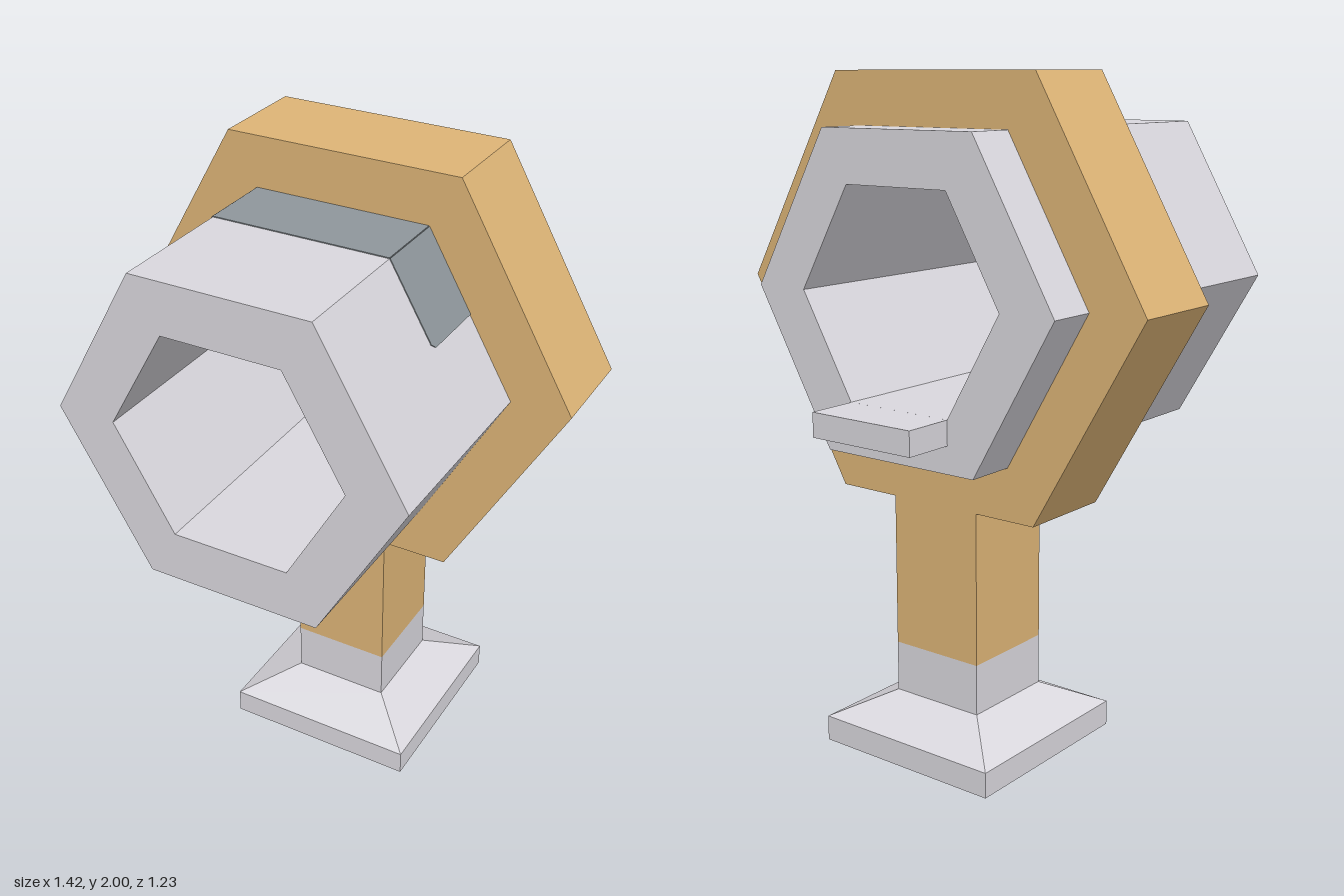
import * as THREE from 'three';

const HEX_Y = 1.385;
const POST_Z = -0.153;

const mat = (name, color) => {
  const m = new THREE.MeshStandardMaterial({ color });
  m.name = name;
  return m;
};

function add(group, name, geometry, material, x = 0, y = 0, z = 0) {
  const mesh = new THREE.Mesh(geometry, material);
  mesh.name = name;
  mesh.position.set(x, y, z);
  group.add(mesh);
  return mesh;
}

const hexPoints = (r) => Array.from({ length: 6 }, (_, i) =>
  new THREE.Vector2(r * Math.cos(i * Math.PI / 3), r * Math.sin(i * Math.PI / 3)));

// hexagonal tube along z
function hexTube(outer, inner, depth) {
  const shape = new THREE.Shape(hexPoints(outer));
  shape.holes.push(new THREE.Path(hexPoints(inner).reverse()));
  return new THREE.ExtrudeGeometry(shape, { depth, bevelEnabled: false });
}

// thin plate lying on a flat of the barrel, running forward from z = 0
function plate(points) {
  const shape = new THREE.Shape(points.map(([x, z]) => new THREE.Vector2(x, -z)));
  const g = new THREE.ExtrudeGeometry(shape, { depth: 0.003, bevelEnabled: false });
  return g.rotateX(-Math.PI / 2).translate(0, 0.4605, 0);
}

export function createModel() {
  const group = new THREE.Group();
  const grey = mat('pale grey', 0xdad8de);
  const gold = mat('gold', 0xdeb577);
  const slate = mat('slate', 0x8f979c);

  // hexagonal head
  add(group, 'collar', hexTube(0.71, 0.531, 0.307), gold, 0, HEX_Y, -0.307);
  add(group, 'barrel', hexTube(0.532, 0.355, 1.075), grey, 0, HEX_Y, -0.46);
  add(group, 'rearTab', new THREE.BoxGeometry(0.355, 0.073, 0.155), grey, 0, 1.041, -0.5375);

  // dark band over the top and upper sides of the barrel
  const h = 0.266, w = 0.225, e = 0.004, c = 0.014;
  add(group, 'bandTop', plate([[-h, 0], [-h, w], [h, w], [h, 0]]), slate, 0, HEX_Y, 0);
  for (const s of [-1, 1]) {
    const pts = [[-h, 0], [-h, w], [-e - c, w], [-e, w - c], [-e, 0]].map(([x, z]) => [x * s, z]);
    const side = add(group, s > 0 ? 'bandLeft' : 'bandRight', plate(pts), slate, 0, HEX_Y, 0);
    side.rotation.z = -s * Math.PI / 3;
  }

  // post
  add(group, 'post', new THREE.BoxGeometry(0.306, 0.463, 0.306), gold, 0, 0.5395, POST_Z);
  add(group, 'postFoot', new THREE.BoxGeometry(0.306, 0.154, 0.306), grey, 0, 0.231, POST_Z);

  // square base with sloped top
  add(group, 'base', new THREE.BoxGeometry(0.612, 0.077, 0.612), grey, 0, 0.0385, POST_Z);
  const slope = new THREE.CylinderGeometry(0.153 * Math.SQRT2, 0.306 * Math.SQRT2, 0.077, 4, 1, true)
    .rotateY(Math.PI / 4).toNonIndexed();
  slope.computeVertexNormals();
  add(group, 'baseSlope', slope, grey, 0, 0.1155, POST_Z);

  return group;
}
